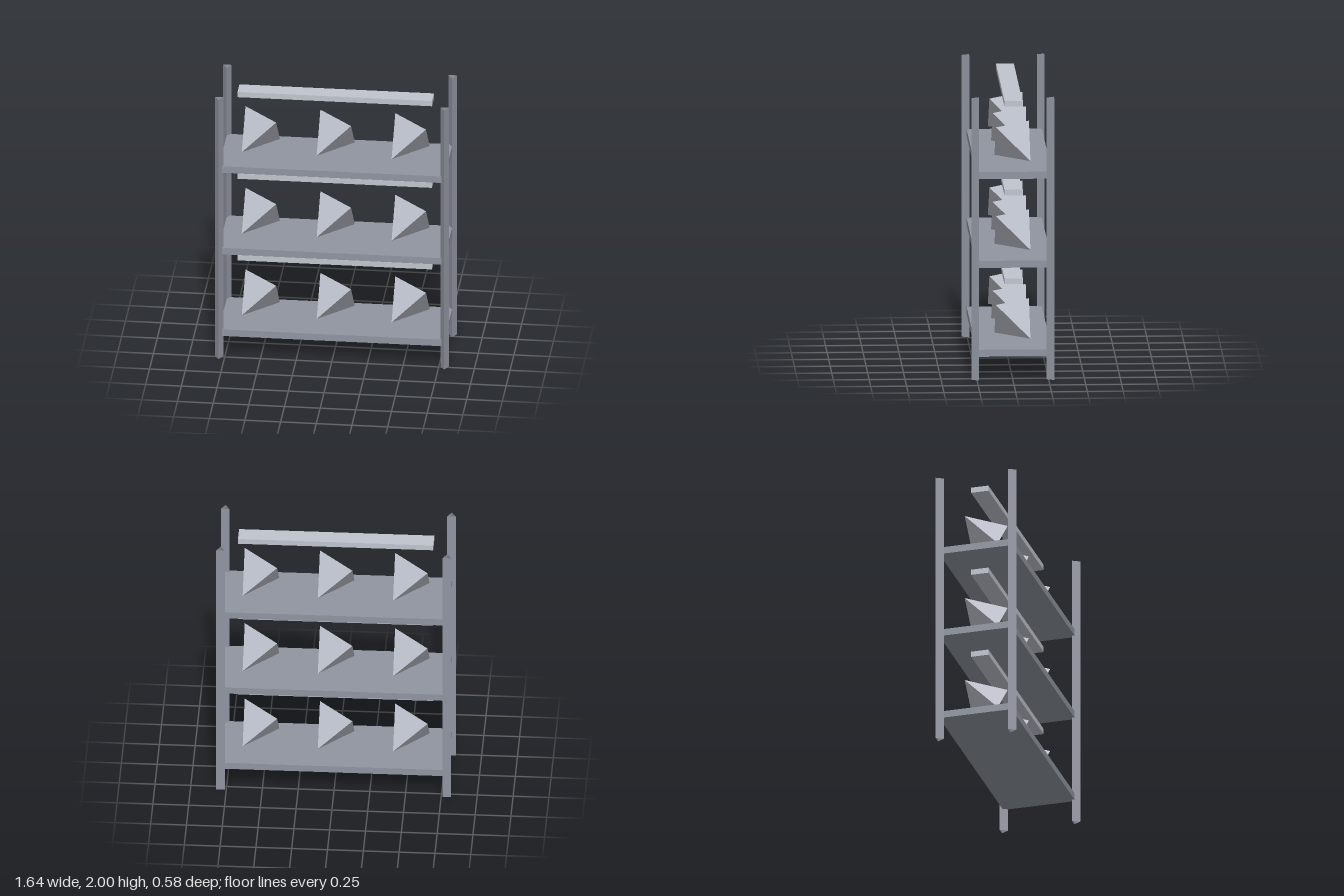
import * as THREE from 'three';

export function createModel() {
  const model = new THREE.Group();
  model.name = 'shelvingRack';

  const frameMetal = new THREE.MeshStandardMaterial({ name: 'frameGrey', color: 0x9095a0, flatShading: true, side: THREE.DoubleSide });
  const barPale = new THREE.MeshStandardMaterial({ name: 'barPaleGrey', color: 0xc0c5ce, flatShading: true });
  const itemPale = new THREE.MeshStandardMaterial({ name: 'itemPaleGrey', color: 0xc0c4cf, flatShading: true });

  const zMid = -0.009; // the three-sided posts reach further forward than back
  const halfWidth = 0.79;
  const halfDepth = 0.2625;

  const add = (name, geometry, material, x, y, z) => {
    const mesh = new THREE.Mesh(geometry, material);
    mesh.name = name;
    mesh.position.set(x, y, z);
    model.add(mesh);
  };

  // Four open, three-sided corner posts
  const postGeo = new THREE.CylinderGeometry(0.035, 0.035, 2, 3, 1, true);
  for (const sx of [-1, 1]) {
    for (const sz of [-1, 1]) {
      const name = (sz > 0 ? 'front' : 'back') + (sx > 0 ? 'Left' : 'Right') + 'Post';
      add(name, postGeo, frameMetal, sx * halfWidth, 1, zMid + sz * halfDepth);
    }
  }

  // Three tiers: shelf, a row of tetrahedra and a bar above them
  const shelfGeo = new THREE.BoxGeometry(halfWidth * 2, 0.05, halfDepth * 2);
  const barGeo = new THREE.BoxGeometry(1.363, 0.04, 0.125);
  const itemGeo = new THREE.TetrahedronGeometry(0.209);
  for (let tier = 0; tier < 3; tier++) {
    const y = 0.188 + tier * 0.6305;
    add(`shelf${tier + 1}`, shelfGeo, frameMetal, 0, y, zMid);
    add(`bar${tier + 1}`, barGeo, barPale, 0, y + 0.488, zMid);
    for (let i = -1; i <= 1; i++) {
      add(`item${tier + 1}_${i + 2}`, itemGeo, itemPale, i * 0.525, y + 0.193, zMid);
    }
  }

  return model;
}
